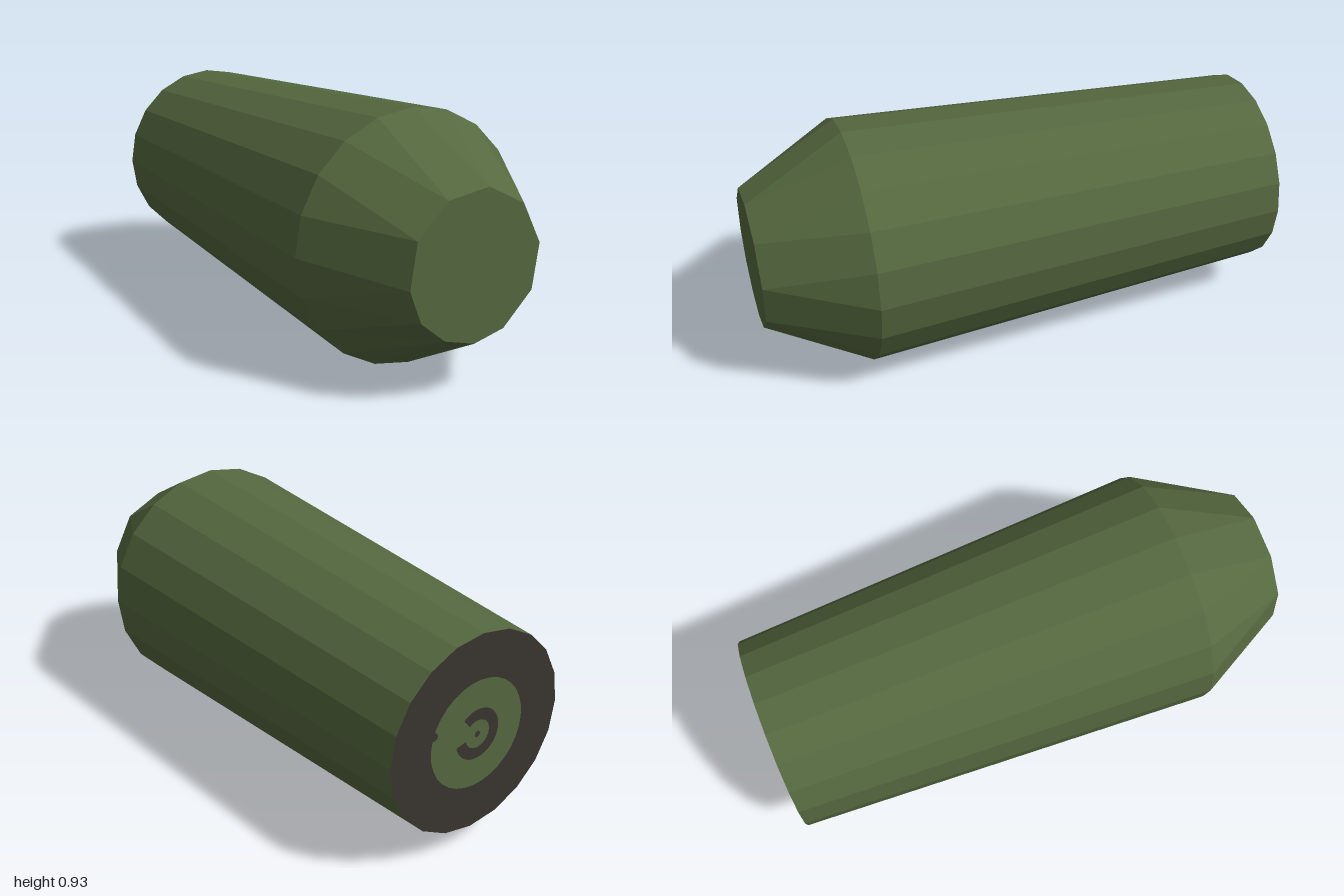
import * as THREE from 'three';

const SIDES = 20;
const CENTRE_Y = 0.465;

// Point on a ring of the body; half steps give the middle of a side
function ringPoint(radius, step, z) {
  const a = (step / SIDES) * Math.PI * 2;
  return new THREE.Vector3(Math.cos(a) * radius, Math.sin(a) * radius, z);
}

// Joins two rings (back to front), skipping collapsed triangles
function loft(back, front) {
  const points = [];
  const triangle = (a, b, c) => {
    if (a.distanceTo(b) > 1e-5 && b.distanceTo(c) > 1e-5 && c.distanceTo(a) > 1e-5) points.push(a, b, c);
  };
  for (let i = 0; i < SIDES; i++) {
    const j = (i + 1) % SIDES;
    triangle(back[i], back[j], front[j]);
    triangle(back[i], front[j], front[i]);
  }
  const geometry = new THREE.BufferGeometry().setFromPoints(points);
  geometry.computeVertexNormals();
  return geometry;
}

export function createModel() {
  const group = new THREE.Group();
  group.name = 'taperedCapsule';
  const green = new THREE.MeshStandardMaterial({ color: 0x55683f });
  green.name = 'olive green';
  const dark = new THREE.MeshStandardMaterial({ color: 0x39352f });
  dark.name = 'dark grey';

  const add = (name, geometry, material) => {
    const mesh = new THREE.Mesh(geometry, material);
    mesh.name = name;
    mesh.position.y = CENTRE_Y;
    group.add(mesh);
    return mesh;
  };

  // Rings of the shell
  const steps = Array.from({ length: SIDES }, (_, i) => i);
  const tail = steps.map((i) => ringPoint(0.375, i, -0.997));
  const shoulder = steps.map((i) => ringPoint(0.465, i, 0.625));

  // Nose ring: neighbours merge in pairs, except the two single corners
  const nose = [];
  const corners = [];
  for (let i = 0; i < SIDES;) {
    const single = i === 12 || i === 15;
    const p = single ? ringPoint(0.268, i, 1) : ringPoint(0.265, i + 0.5, 1);
    corners.push(p);
    nose.push(p);
    if (!single) nose.push(p);
    i += single ? 1 : 2;
  }

  add('body', loft(tail, shoulder), green);
  add('noseTaper', loft(shoulder, nose), green);

  // Flat nose cap
  const capShape = new THREE.Shape(corners.map((p) => new THREE.Vector2(p.x, p.y)));
  add('noseCap', new THREE.ShapeGeometry(capShape).translate(0, 0, 1), green);

  // Rear disc with its painted rings, facing backwards
  const addRear = (name, geometry, material, z) => add(name, geometry.rotateY(Math.PI).translate(0, 0, z), material);
  const gap = THREE.MathUtils.degToRad(164);
  const halfGap = THREE.MathUtils.degToRad(31);
  addRear('rearDisc', new THREE.CircleGeometry(0.375, SIDES), dark, -0.997);
  addRear('rearGreenDisc', new THREE.CircleGeometry(0.205, 32), green, -0.9985);
  addRear('rearOpenRing',
    new THREE.RingGeometry(0.053, 0.096, 32, 1, gap + halfGap, Math.PI * 2 - halfGap * 2), dark, -1);
  addRear('rearCentreDot', new THREE.CircleGeometry(0.012, 8), dark, -1);
  addRear('rearNotch',
    new THREE.CircleGeometry(0.016, 10).translate(Math.cos(gap) * 0.203, Math.sin(gap) * 0.203, 0), dark, -1);

  return group;
}
